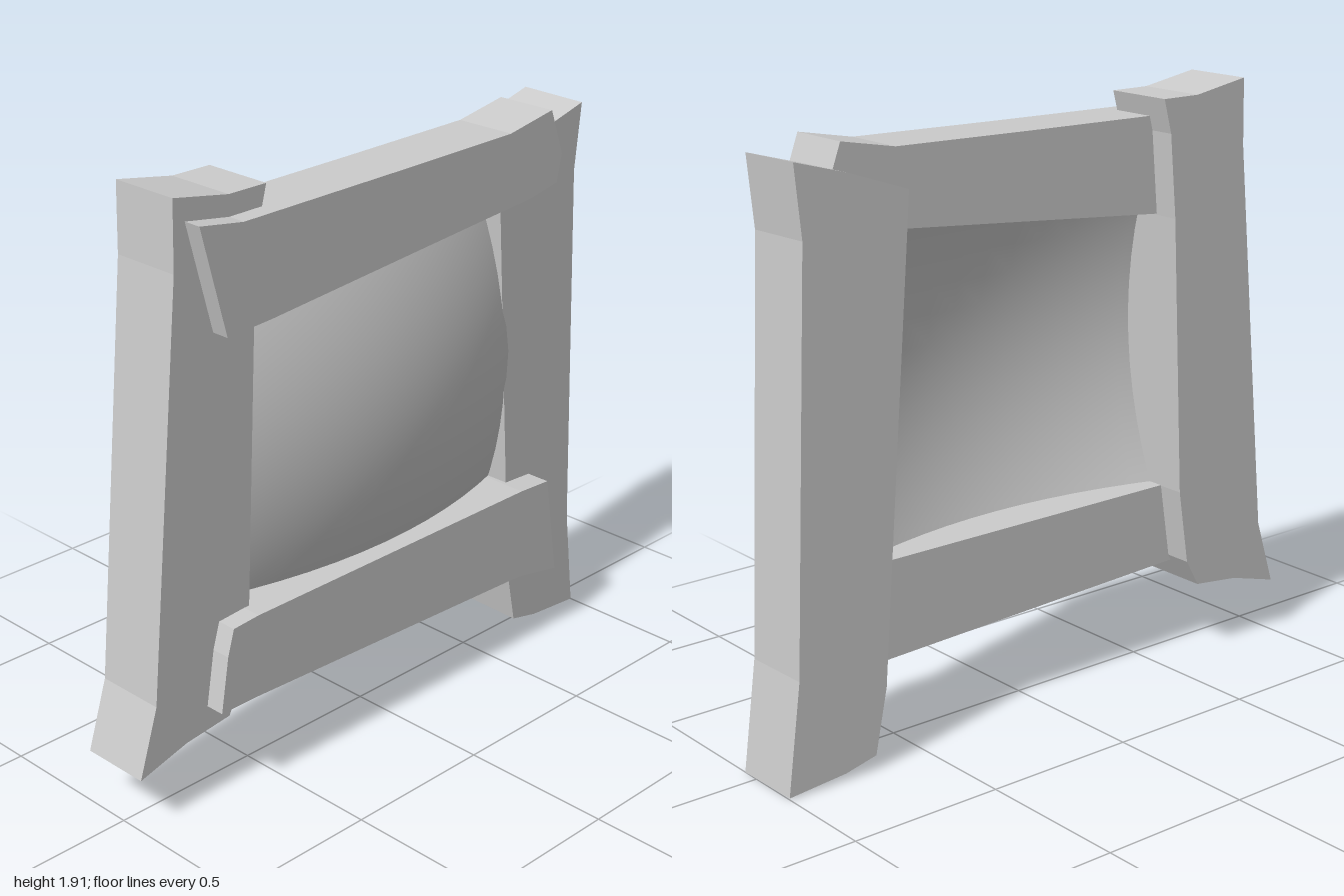
import * as THREE from 'three';

const material = new THREE.MeshStandardMaterial({ color: 0xcccccc, flatShading: true });
const panelMaterial = new THREE.MeshStandardMaterial({ color: 0xcccccc, side: THREE.DoubleSide });

// Rough plank: an outline in x/y, extruded around z = 0
function plank(name, outline, depth) {
  const shape = new THREE.Shape(outline.map(([x, y]) => new THREE.Vector2(x, y)));
  const geometry = new THREE.ExtrudeGeometry(shape, { depth, bevelEnabled: false });
  geometry.translate(0, 0, -depth / 2);
  const mesh = new THREE.Mesh(geometry, material);
  mesh.name = name;
  return mesh;
}

export function createModel() {
  const group = new THREE.Group();
  group.name = 'plankFrame';

  // Upright posts with flared ends
  const rightPost = plank('rightPost', [
    [-1, 0.18], [-0.82, 0.23], [-0.65, 0.25], [-0.6, 0.34], [-0.56, 0.59], [-0.515, 1.5],
    [-0.49, 1.77], [-0.46, 1.88], [-0.6, 1.88], [-0.8, 1.915], [-0.805, 1.7], [-0.93, 0.4],
  ], 0.235);
  rightPost.position.z = -0.027;

  const leftPost = plank('leftPost', [
    [0.69, 0.045], [0.8, 0.02], [1, 0.003], [0.95, 0.35], [0.88, 1.62], [0.9, 1.84],
    [0.72, 1.79], [0.515, 1.72], [0.525, 1.6], [0.615, 0.59], [0.645, 0.25],
  ], 0.235);
  leftPost.rotation.x = 0.02; // leans slightly forward
  leftPost.position.z = -0.0575;

  // Cross rails
  const topRail = plank('topRail', [
    [-0.67, 1.495], [-0.5, 1.505], [0.6, 1.6], [0.725, 1.625], [0.745, 1.715],
    [0.69, 1.865], [0.5, 1.83], [0, 1.822], [-0.6, 1.815], [-0.76, 1.84],
  ], 0.21);
  topRail.position.z = 0.045;

  const bottomRail = plank('bottomRail', [
    [-0.735, 0.32], [-0.6, 0.32], [0.6, 0.275], [0.785, 0.24], [0.73, 0.585],
    [0.6, 0.592], [-0.58, 0.592], [-0.68, 0.585], [-0.705, 0.5],
  ], 0.21);
  bottomRail.position.z = 0.05;

  // Panel stretched between the planks, bulging to the front
  const geometry = new THREE.PlaneGeometry(1.24, 1.1, 12, 12);
  const p = geometry.attributes.position;
  for (let i = 0; i < p.count; i++) {
    const x = p.getX(i), y = p.getY(i);
    p.setZ(i, 0.172 - 0.27 * x * x - 0.36 * y * y);
  }
  geometry.computeVertexNormals();
  const panel = new THREE.Mesh(geometry, panelMaterial);
  panel.name = 'panel';
  panel.position.set(0.02, 1.07, 0);

  group.add(rightPost, leftPost, topRail, bottomRail, panel);
  return group;
}
